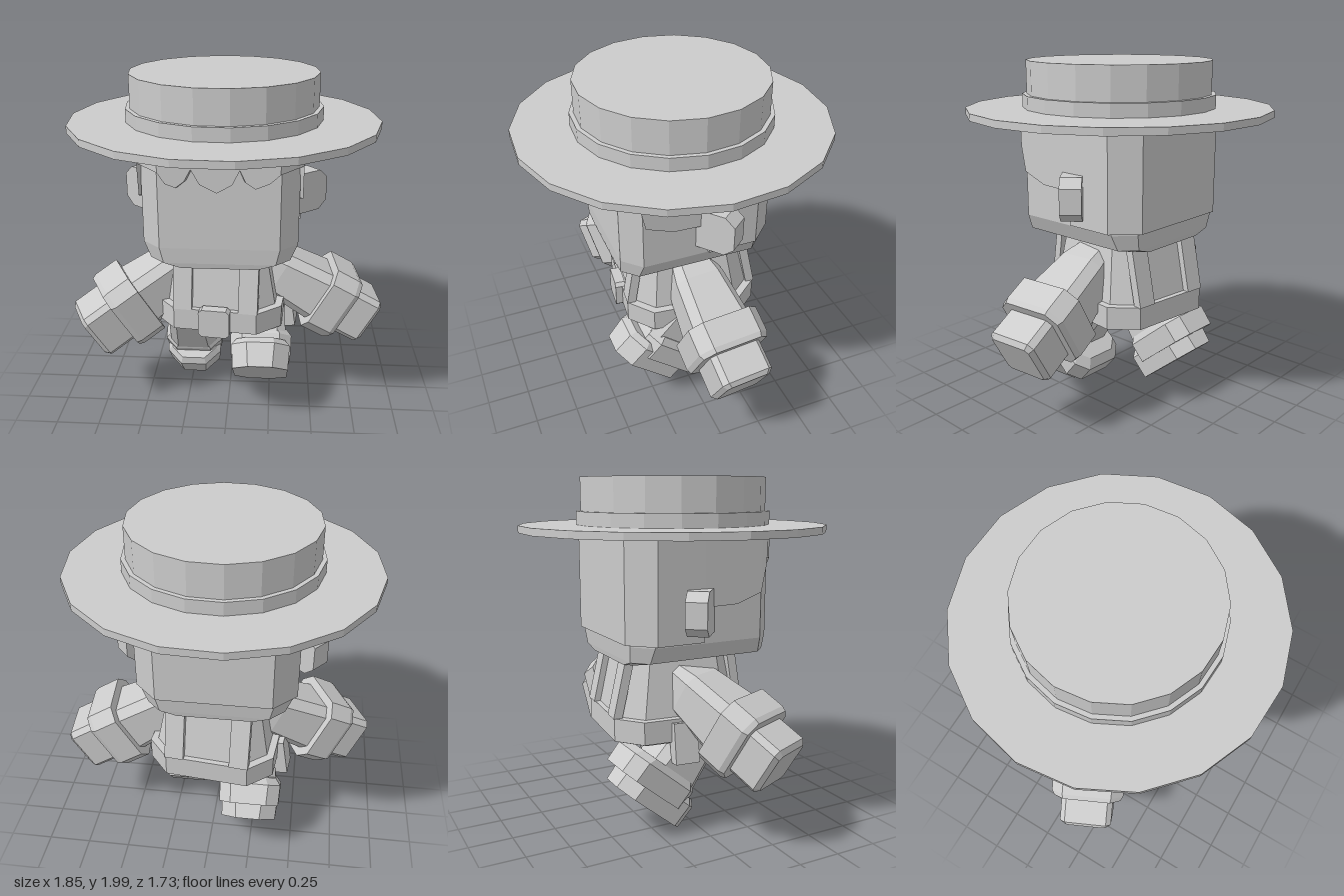
import * as THREE from 'three';

const grey = new THREE.MeshStandardMaterial({ color: 0xcccccc, flatShading: true, side: THREE.DoubleSide });
grey.name = 'plain grey';
const rad = THREE.MathUtils.degToRad;

function mesh(name, geometry, parent) {
  const m = new THREE.Mesh(geometry, grey);
  m.name = name;
  parent.add(m);
  return m;
}

// Chamfered-corner block lofted through rings [y, x0, x1, z0, z1, cut], lowest ring first
function loft(rings) {
  const pos = [], idx = [];
  for (const [y, x0, x1, z0, z1, c] of rings) {
    const loop = [[x0 + c, z1], [x1 - c, z1], [x1, z1 - c], [x1, z0 + c], [x1 - c, z0], [x0 + c, z0], [x0, z0 + c], [x0, z1 - c]];
    for (const [x, z] of loop) pos.push(x, y, z);
  }
  const last = (rings.length - 1) * 8;
  for (let r = 0; r < last; r += 8) {
    for (let i = 0; i < 8; i++) {
      const j = (i + 1) % 8;
      idx.push(r + i, r + j, r + 8 + j, r + i, r + 8 + j, r + 8 + i);
    }
  }
  for (let i = 1; i < 7; i++) idx.push(0, i + 1, i, last, last + i, last + i + 1);
  const g = new THREE.BufferGeometry();
  g.setAttribute('position', new THREE.Float32BufferAttribute(pos, 3));
  g.setIndex(idx);
  const flat = g.toNonIndexed();
  flat.computeVertexNormals();
  return flat;
}

// Symmetric ring shorthand
const ring = (y, hx, hz, c) => [y, -hx, hx, -hz, hz, c];

function addHat(parent) {
  const tiers = [['hatBrim', 0.87, 1.7, 1.74], ['hatBand', 0.55, 1.74, 1.815], ['hatCrown', 0.525, 1.815, 2.0]];
  for (const [name, r, y0, y1] of tiers) {
    const m = mesh(name, new THREE.CylinderGeometry(r, r, y1 - y0, 18), parent);
    m.position.y = (y0 + y1) / 2;
    m.rotation.y = rad(7);
  }
}

// Hair: an outer wall with a cut lower edge and a lip back to the head
function hairGeometry() {
  const fringe = [[-0.32, 1.55], [-0.28, 1.49], [-0.225, 1.47], [-0.18, 1.505], [-0.145, 1.57], [-0.1, 1.49], [-0.01, 1.445],
    [0.07, 1.49], [0.11, 1.57], [0.14, 1.505], [0.19, 1.47], [0.265, 1.5], [0.32, 1.55]].map(([x, y]) => [x, 0.452, y]);
  const side = [[0.44, 0.355, 1.57], [0.442, 0.35, 1.52], [0.443, 0.32, 1.38], [0.445, 0.165, 1.325], [0.448, -0.04, 1.32],
    [0.448, -0.041, 1.13], [0.448, -0.32, 1.13], [0.32, -0.45, 1.13]];
  const loop = [...fringe, ...side, ...side.slice().reverse().map(([x, z, y]) => [-x, z, y])];
  const pos = [], idx = [];
  for (const [x, z, y] of loop) pos.push(x, 1.71, z, x, y, z, x * 0.93, y, z * 0.93);
  for (let i = 0; i < loop.length; i++) {
    const a = i * 3, b = ((i + 1) % loop.length) * 3;
    idx.push(a, a + 1, b + 1, a, b + 1, b, a + 1, a + 2, b + 2, a + 1, b + 2, b + 1);
  }
  const g = new THREE.BufferGeometry();
  g.setAttribute('position', new THREE.Float32BufferAttribute(pos, 3));
  g.setIndex(idx);
  g.computeVertexNormals();
  return g;
}

function addHead(parent) {
  mesh('head', loft([
    [1.0, -0.25, 0.25, -0.41, 0.42, 0.04],
    [1.03, -0.385, 0.385, -0.415, 0.425, 0.08],
    [1.12, -0.425, 0.425, -0.425, 0.43, 0.1],
    [1.71, -0.425, 0.425, -0.425, 0.43, 0.1]]), parent);
  mesh('hair', hairGeometry(), parent);

  // Ears: plates with cut outer corners, swept backwards
  const s = new THREE.Shape([[-0.06, -0.12], [0.18, -0.12], [0.237, -0.07], [0.237, 0.07], [0.18, 0.12], [-0.06, 0.12]]
    .map(([x, y]) => new THREE.Vector2(x, y)));
  for (const sx of [1, -1]) {
    const ear = mesh(sx > 0 ? 'leftEar' : 'rightEar', new THREE.ExtrudeGeometry(s, { depth: 0.118, bevelEnabled: false }).translate(0, 0, -0.118), parent);
    ear.position.set(sx * 0.415, 1.3, 0.04);
    ear.rotation.y = sx > 0 ? rad(40) : rad(140);
    if (sx < 0) ear.geometry.translate(0, 0, 0.118);
  }
}

function addTorso(parent) {
  const torso = new THREE.Group();
  torso.name = 'torso';
  torso.rotation.y = rad(-6);
  parent.add(torso);
  mesh('shirt', loft([
    [0.55, -0.34, 0.34, -0.41, 0.31, 0.12],
    [0.69, -0.33, 0.33, -0.41, 0.31, 0.12],
    [1.01, -0.27, 0.27, -0.34, 0.26, 0.1]]), torso);
  mesh('belt', loft([
    [0.565, -0.37, 0.37, -0.44, 0.34, 0.13],
    [0.695, -0.37, 0.37, -0.44, 0.34, 0.13]]), torso);
  const buckle = mesh('buckle', loft([ring(-0.03, 0.09, 0.085, 0.02), ring(0.03, 0.09, 0.085, 0.02)]), torso);
  buckle.position.set(0, 0.63, 0.35);
  buckle.rotation.x = Math.PI / 2;
  // Braces, front and back
  for (const sx of [1, -1]) {
    for (const front of [true, false]) {
      const b = mesh('brace', new THREE.BoxGeometry(0.11, 0.34, 0.05), torso);
      b.position.set(sx * 0.19, 0.855, front ? 0.29 : -0.385);
      b.rotation.x = front ? -0.16 : 0.22;
    }
    const pouch = mesh('sidePouch', new THREE.BoxGeometry(0.08, 0.23, 0.14), torso);
    pouch.position.set(sx * 0.38, 0.56, -0.08);
    pouch.rotation.z = sx * 0.15;
  }
}

// Arm hangs down its own -y before being swung into place
function addArm(parent, name, sx, x, yaw) {
  const arm = new THREE.Group();
  arm.name = name;
  arm.position.set(x, 0.84, -0.02);
  arm.rotation.set(0, rad(yaw), rad(60 * sx), 'YXZ');
  parent.add(arm);
  mesh('upperArm', loft([ring(-0.4, 0.165, 0.18, 0.05), ring(-0.05, 0.14, 0.15, 0.05), ring(0.08, 0.11, 0.12, 0.04)]), arm);
  mesh('cuff', loft([ring(-0.51, 0.2, 0.2, 0.06), ring(-0.48, 0.21, 0.215, 0.07), ring(-0.33, 0.21, 0.215, 0.07)]), arm);
  mesh('hand', loft([ring(-0.7, 0.125, 0.13, 0.02), ring(-0.675, 0.15, 0.155, 0.03), ring(-0.45, 0.15, 0.155, 0.03)]), arm);
}

// Leg hangs down its own -y with the toe towards +z
function addLeg(parent, name, x, y, sole, swing) {
  const leg = new THREE.Group();
  leg.name = name;
  leg.position.set(x, y, 0.02);
  leg.rotation.x = rad(swing);
  parent.add(leg);
  mesh('thigh', loft([ring(-sole + 0.15, 0.15, 0.17, 0.05), ring(0.05, 0.13, 0.14, 0.05)]), leg);
  mesh('trouserCuff', loft([
    [-sole + 0.09, -0.175, 0.175, -0.3, 0.17, 0.07],
    [-sole + 0.21, -0.18, 0.18, -0.3, 0.17, 0.07],
    [-sole + 0.25, -0.15, 0.15, -0.25, 0.15, 0.06]]), leg);
  mesh('boot', loft([
    ring(-sole, 0.16, 0.25, 0.09),
    ring(-sole + 0.14, 0.17, 0.25, 0.09),
    ring(-sole + 0.175, 0.14, 0.22, 0.07)]), leg);
}

export function createModel() {
  const model = new THREE.Group();
  model.name = 'figureInHat';
  const body = new THREE.Group();
  body.name = 'body';
  body.position.x = -0.035;
  model.add(body);
  addHat(body);
  addHead(body);
  addTorso(body);
  addArm(model, 'leftArm', 1, 0.24, 5);
  addArm(model, 'rightArm', -1, -0.28, 25);
  addLeg(model, 'leftLeg', 0.195, 0.58, 0.417, -40.5);
  addLeg(model, 'rightLeg', -0.24, 0.55, 0.497, 40);
  return model;
}
